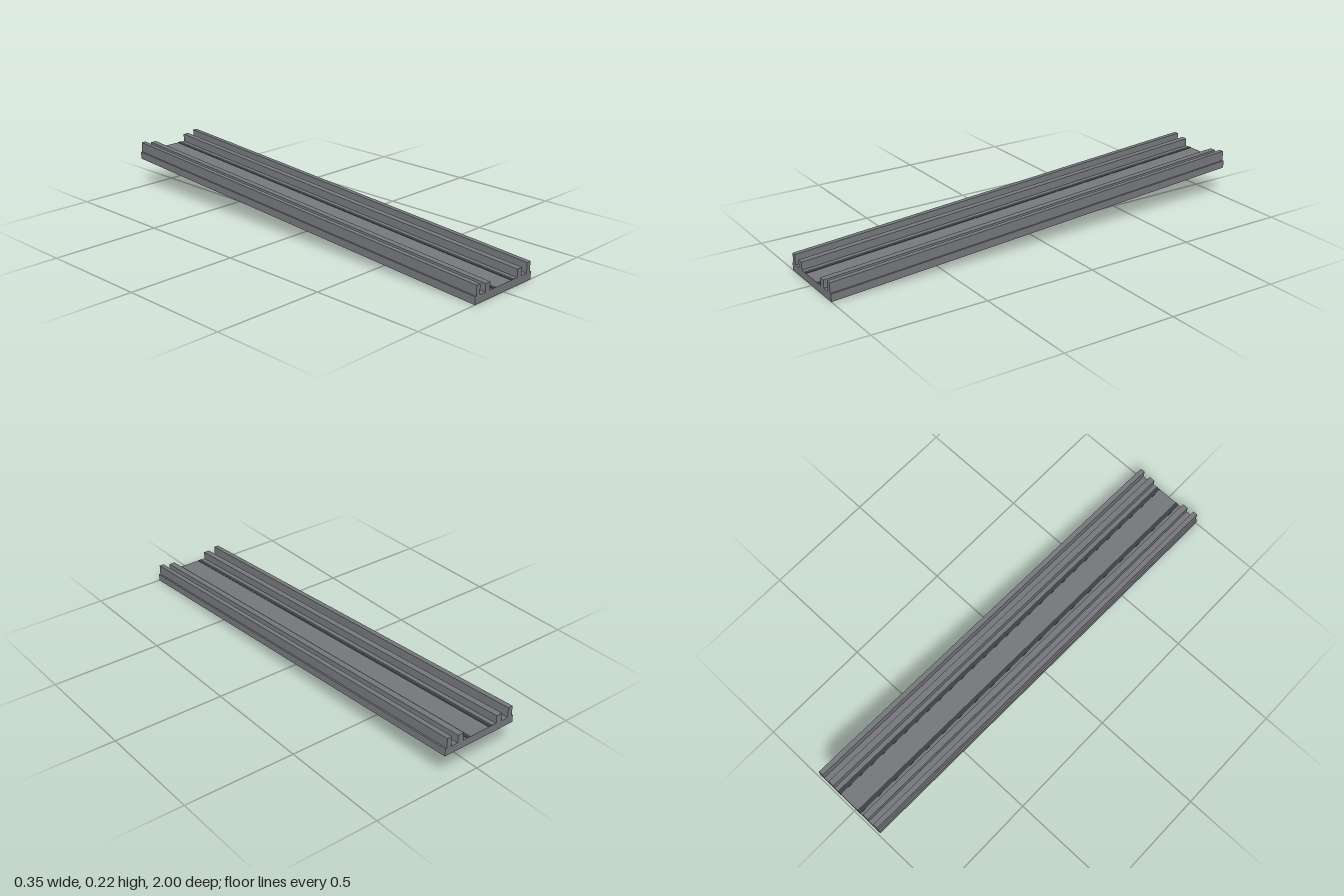
import * as THREE from 'three';

const LENGTH = 2;
const RISE = 0.138; // height gained from the front end to the back end

// Box running the whole length, sheared so it climbs to the back with vertical ends
function slopedBar(name, x0, x1, y0, y1, material) {
  const geometry = new THREE.BoxGeometry(x1 - x0, y1 - y0, LENGTH);
  geometry.translate((x0 + x1) / 2, (y0 + y1) / 2, 0);
  const shear = new THREE.Matrix4().set(
    1, 0, 0, 0,
    0, 1, -RISE / LENGTH, RISE / 2,
    0, 0, 1, 0,
    0, 0, 0, 1
  );
  geometry.applyMatrix4(shear);
  const mesh = new THREE.Mesh(geometry, material);
  mesh.name = name;
  return mesh;
}

export function createModel() {
  const grey = new THREE.MeshStandardMaterial({ color: 0x75777b });
  grey.name = 'concrete grey';
  const dark = new THREE.MeshStandardMaterial({ color: 0x3a4245 });
  dark.name = 'dark stripe';

  const group = new THREE.Group();
  group.name = 'slopedTrack';

  // Deck slab
  group.add(slopedBar('deck', -0.176, 0.176, 0, 0.033, grey));

  // Rails, walls and stripes, mirrored on both sides
  const bars = [
    ['OuterWall', 0.147, 0.169, 0.033, 0.078, grey],
    ['InnerRail', 0.086, 0.114, 0.033, 0.068, grey],
    ['Stripe', 0.048, 0.067, 0.033, 0.0345, dark],
  ];
  for (const [name, x0, x1, y0, y1, material] of bars) {
    group.add(slopedBar('left' + name, x0, x1, y0, y1, material));
    group.add(slopedBar('right' + name, -x1, -x0, y0, y1, material));
  }
  return group;
}
